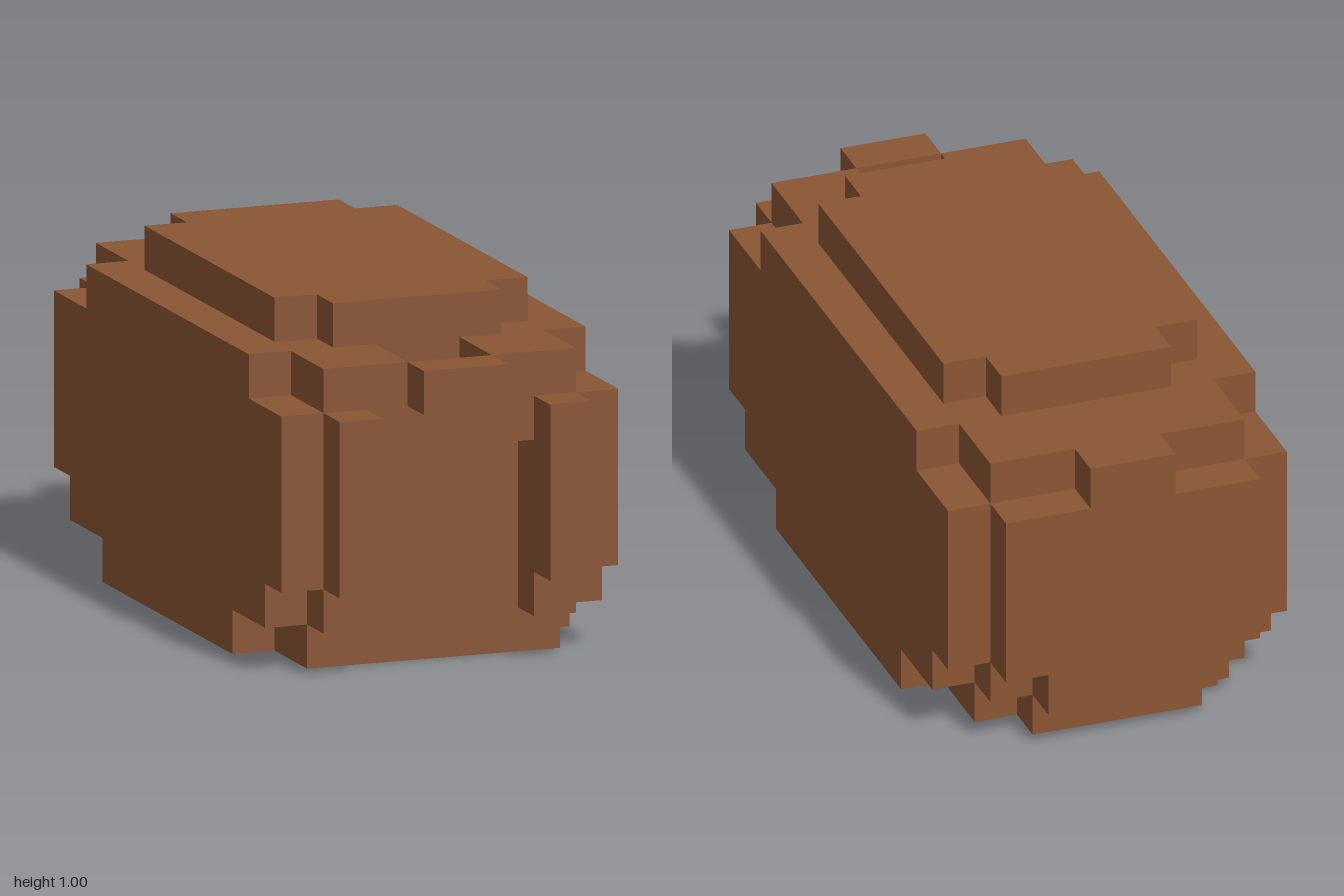
import * as THREE from 'three';

const U = 0.125; // one block

// Right half of each layer's plan outline as [x, z], from back to front, in blocks
const LAYERS = [
  { name: 'base', y: 0, h: 1,
    plan: [[2, -7], [2, -6], [3, -6], [3, -4], [4, -4], [4, 4], [3, 4], [3, 6]] },
  { name: 'lowerBody', y: 1, h: 1,
    plan: [[2, -8], [2, -7], [3, -7], [3, -6], [4, -6], [4, 6], [3, 6], [3, 7], [2, 7], [2, 6]] },
  { name: 'bodyWithFrontPosts', y: 2, h: 3,
    plan: [[3, -8], [3, -7], [4, -7], [4, 7], [3, 7], [3, 8], [2, 8], [2, 6]] },
  { name: 'bodyAboveRecess', y: 5, h: 1,
    plan: [[3, -8], [3, -7], [4, -7], [4, 7], [3, 7], [3, 8], [2, 8], [2, 7]] },
  { name: 'shoulder', y: 6, h: 1,
    plan: [[1, -8], [1, -7], [3, -7], [3, -5], [4, -5], [4, 5], [3, 5], [3, 7], [1, 7], [1, 5]] },
  { name: 'topSlab', y: 7, h: 1,
    plan: [[2, -5], [2, -4], [3, -4], [3, 4], [2, 4], [2, 5]] },
];

// Mirrors a half outline across x = 0 and extrudes it upwards
function layerGeometry(plan, height) {
  const mirrored = plan.map(([x, z]) => [-x, z]).reverse();
  const outline = [...plan, ...mirrored].map(([x, z]) => new THREE.Vector2(x * U, -z * U));
  const geometry = new THREE.ExtrudeGeometry(new THREE.Shape(outline), { depth: height * U, bevelEnabled: false });
  return geometry.rotateX(-Math.PI / 2);
}

export function createModel() {
  const model = new THREE.Group();
  model.name = 'blockyBody';
  const brown = new THREE.MeshStandardMaterial({ color: 0x8b5635 });
  brown.name = 'brown';

  // Stacked body layers
  for (const { name, y, h, plan } of LAYERS) {
    const mesh = new THREE.Mesh(layerGeometry(plan, h), brown);
    mesh.name = name;
    mesh.position.y = y * U;
    model.add(mesh);
  }

  // Bar standing in front of the notch in the shoulder
  const bar = new THREE.Mesh(new THREE.BoxGeometry(2 * U, U, U), brown);
  bar.name = 'frontBar';
  bar.position.set(0, 6.5 * U, 7.5 * U);
  model.add(bar);

  return model;
}
